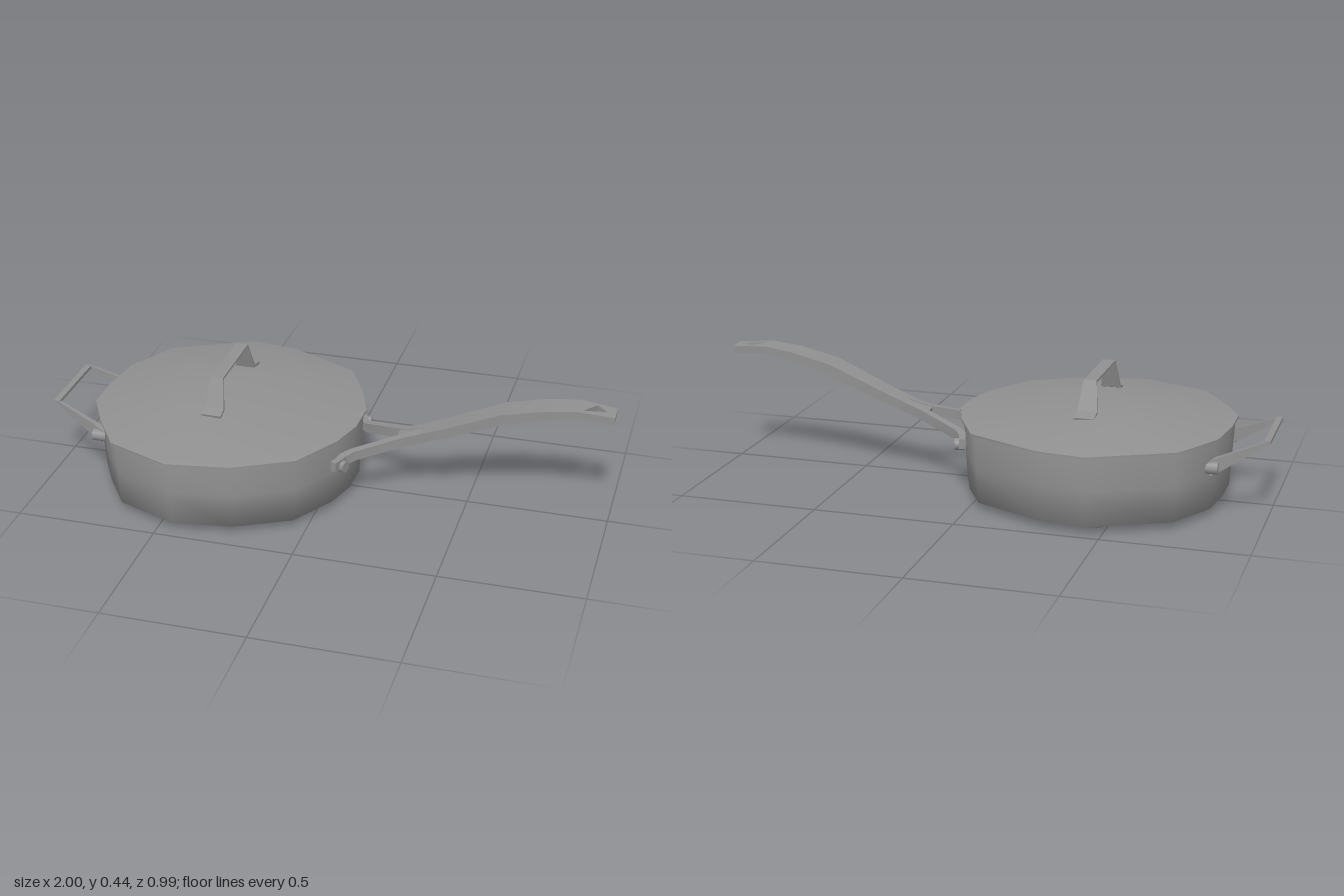
import * as THREE from 'three';
import { toCreasedNormals } from 'three/addons/utils/BufferGeometryUtils.js';

const CX = -0.375; // centre of the pan along x
const steel = new THREE.MeshStandardMaterial({ color: 0x909090 });
steel.name = 'steel grey';

// Skin a list of closed rings (each an array of Vector3) and cap both ends
function loft(rings, crease) {
  const n = rings[0].length, pos = [], idx = [];
  rings.forEach(r => r.forEach(p => pos.push(p.x, p.y, p.z)));
  for (let i = 0; i < rings.length - 1; i++) {
    for (let j = 0; j < n; j++) {
      const a = i * n + j, d = i * n + (j + 1) % n;
      idx.push(a, a + n, d + n, a, d + n, d);
    }
  }
  [0, rings.length - 1].forEach((ri, end) => {
    const c = rings[ri].reduce((s, p) => s.add(p), new THREE.Vector3()).divideScalar(n);
    const ci = pos.length / 3;
    pos.push(c.x, c.y, c.z);
    for (let j = 0; j < n; j++) {
      const a = ri * n + j, b = ri * n + (j + 1) % n;
      if (end) idx.push(ci, b, a); else idx.push(ci, a, b);
    }
  });
  const g = new THREE.BufferGeometry();
  g.setAttribute('position', new THREE.Float32BufferAttribute(pos, 3));
  g.setIndex(idx);
  g.computeVertexNormals();
  return crease ? toCreasedNormals(g, crease) : g;
}

// Rectangular bar along stations [x, y, z, width, thickness]
function bar(stations) {
  const pts = stations.map(s => new THREE.Vector3(s[0], s[1], s[2]));
  const up = new THREE.Vector3(0, 1, 0);
  return loft(stations.map(([, , , w, h], i) => {
    const dir = pts[Math.min(i + 1, pts.length - 1)].clone().sub(pts[Math.max(i - 1, 0)]).normalize();
    const side = new THREE.Vector3().crossVectors(up, dir).normalize();
    const top = new THREE.Vector3().crossVectors(dir, side);
    return [[1, -1], [1, 1], [-1, 1], [-1, -1]].map(([u, v]) =>
      pts[i].clone().addScaledVector(top, u * h / 2).addScaledVector(side, v * w / 2));
  }), 0.7);
}

// Uneven round outline shared by pan and lid
const outline = [
  [-0.45, -0.5], [-0.28, -0.48], [-0.02, -0.36], [0.06, -0.21], [0.11, -0.07], [0.105, 0.06],
  [0.07, 0.18], [-0.03, 0.35], [-0.23, 0.455], [-0.45, 0.49], [-0.68, 0.4], [-0.78, 0.25],
  [-0.85, 0.12], [-0.85, -0.02], [-0.83, -0.18], [-0.73, -0.36],
];
const ring = (y, sx, sz, dx = 0, dz = 0) => outline.map(([x, z]) =>
  new THREE.Vector3(CX + dx + (x - CX) * sx, y, dz + z * sz));

export function createModel() {
  const model = new THREE.Group();
  const add = (name, geometry, parent = model) => {
    const m = new THREE.Mesh(geometry, steel);
    m.name = name;
    parent.add(m);
    return m;
  };
  const group = name => {
    const g = new THREE.Group();
    g.name = name;
    model.add(g);
    return g;
  };

  // Pan: chamfered base, flared wall, hollow inside
  add('panBody', loft([
    ring(0.002, 0.5, 0.78, -0.06, 0.0), ring(0.026, 0.95, 0.93), ring(0.15, 0.965, 0.94),
    ring(0.272, 0.98, 0.95), ring(0.272, 0.95, 0.92), ring(0.04, 0.9, 0.88),
  ]));

  // Lid: thin rim rising to a small flat crown
  add('lid', loft([
    ring(0.27, 0.9, 0.9), ring(0.272, 1, 1), ring(0.279, 1, 1),
    ring(0.284, 0.94, 0.95), ring(0.331, 0.27, 0.41, -0.085, -0.035),
  ], 0.9));

  // Lid handle: flat strap with a foot at each end
  add('lidHandle', bar([
    [-0.38, 0.325, 0.205, 0.07, 0.01], [-0.38, 0.337, 0.165, 0.07, 0.012],
    [-0.38, 0.437, 0.13, 0.045, 0.008], [-0.38, 0.437, -0.15, 0.045, 0.008],
    [-0.38, 0.337, -0.185, 0.07, 0.012], [-0.38, 0.325, -0.24, 0.07, 0.01],
  ]));

  // Helper handle: two tapering arms joined by a grip
  const helper = group('helperHandle');
  add('helperGrip', bar([[-0.988, 0.27, 0.155, 0.022, 0.012], [-0.988, 0.27, -0.145, 0.022, 0.012]]), helper);
  for (const s of [1, -1]) {
    add('helperArm', bar([
      [-0.795, 0.175, s * 0.185, 0.03, 0.05], [-0.84, 0.195, s * 0.172, 0.02, 0.045],
      [-0.99, 0.271, s * 0.147, 0.012, 0.012],
    ]), helper);
    const rivet = add('helperRivet', new THREE.CylinderGeometry(0.022, 0.022, 0.05, 8), helper);
    rivet.rotation.z = Math.PI / 2;
    rivet.position.set(-0.81, 0.18, s * 0.19);
  }

  // Long handle: curved grip, pierced tip, forked root
  const handle = group('longHandle');
  add('handleGrip', bar([
    [0.25, 0.228, 0, 0.05, 0.03], [0.32, 0.25, 0, 0.08, 0.032], [0.42, 0.288, 0, 0.09, 0.036],
    [0.62, 0.375, 0, 0.1, 0.036], [0.76, 0.41, 0, 0.1, 0.032], [0.872, 0.426, 0, 0.092, 0.028],
  ]), handle);
  const tip = new THREE.Shape([[0, -0.046], [0.13, -0.038], [0.13, 0.036], [0, 0.046]]
    .map(p => new THREE.Vector2(...p)));
  tip.holes.push(new THREE.Path([[0.02, -0.028], [0.06, 0.03], [0.1, -0.005]]
    .map(p => new THREE.Vector2(...p))));
  const tipGeo = new THREE.ExtrudeGeometry(tip, { depth: 0.026, bevelEnabled: false });
  tipGeo.rotateX(-Math.PI / 2).rotateZ(-0.08).translate(0.868, 0.414, 0);
  add('handleTip', tipGeo, handle);

  for (const s of [1, -1]) {
    add('forkArm', bar([
      [0.065, 0.185, s * 0.16, 0.03, 0.035], [0.11, 0.193, s * 0.105, 0.028, 0.035],
      [0.27, 0.233, s * 0.03, 0.028, 0.036], [0.34, 0.257, s * 0.022, 0.04, 0.034],
    ]), handle);
    // Mounting plate and rivet against the pan wall
    const plate = add('mountPlate', new THREE.BoxGeometry(0.022, 0.036, 0.08), handle);
    plate.position.set(0.075, 0.187, s * 0.165);
    plate.rotation.y = -s * 0.35;
    const rivet = add('mountRivet', new THREE.CylinderGeometry(0.022, 0.022, 0.035, 7), handle);
    rivet.rotation.set(0, -s * 0.35, Math.PI / 2);
    rivet.position.set(0.083, 0.177, s * 0.168);
  }
  return model;
}
